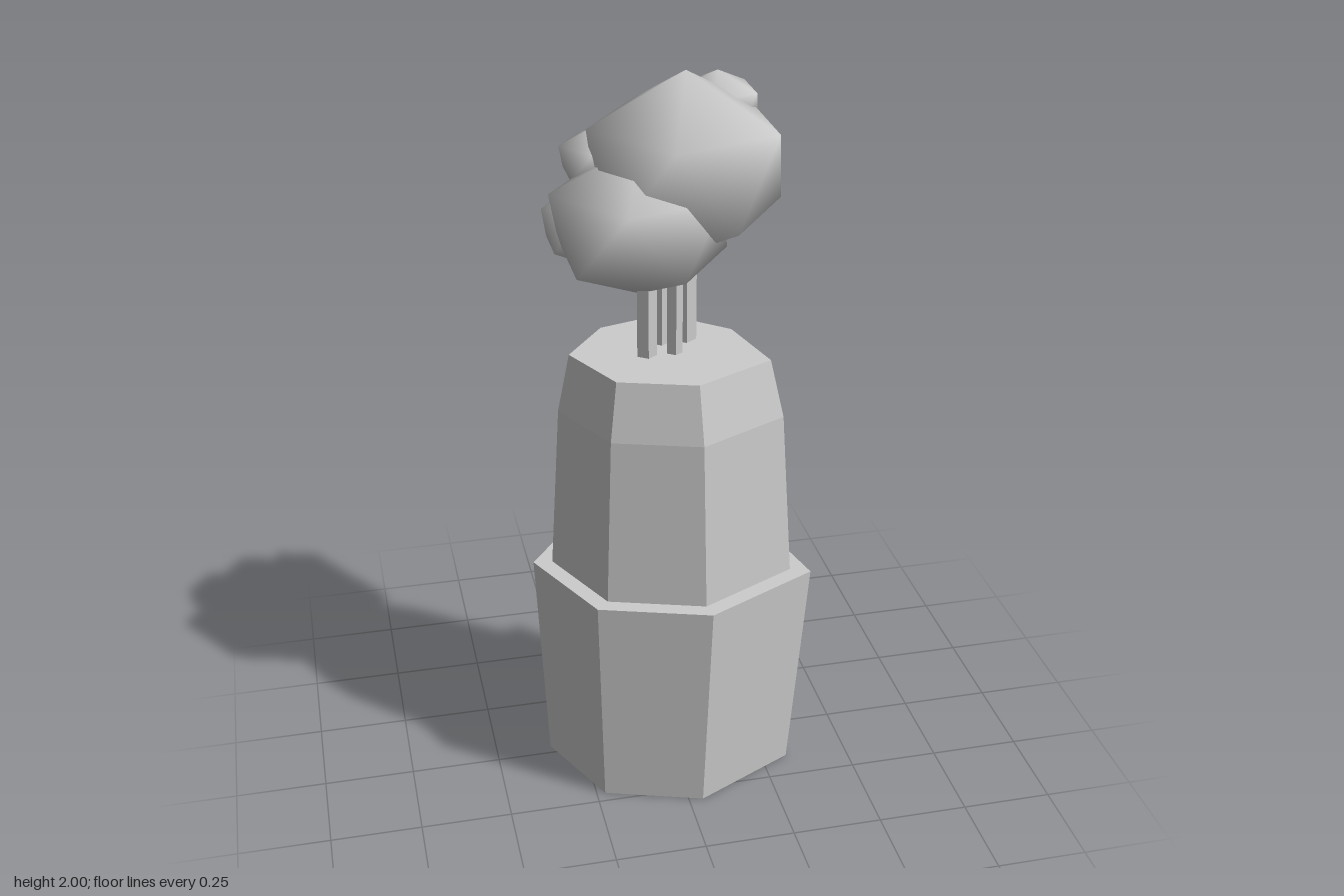
import * as THREE from 'three';

// Closed skin: bottom point, stacked rings (same count), top point.
function loft(bottom, rings, top, smooth) {
  const n = rings[0].length;
  const pos = [bottom, ...rings.flat(), top].flat();
  const last = 1 + n * rings.length;
  const index = [];
  for (let i = 0; i < n; i++) {
    const j = (i + 1) % n;
    index.push(0, 1 + i, 1 + j);
    for (let r = 0; r < rings.length - 1; r++) {
      const a = 1 + r * n, b = a + n;
      index.push(a + i, b + i, a + j, a + j, b + i, b + j);
    }
    index.push(last, last - n + j, last - n + i);
  }
  let geo = new THREE.BufferGeometry();
  geo.setAttribute('position', new THREE.Float32BufferAttribute(pos, 3));
  geo.setIndex(index);
  if (!smooth) geo = geo.toNonIndexed();
  geo.computeVertexNormals();
  return geo;
}

// Uneven seven-sided plan shared by the base and the shaft (x, z).
const PLAN = [
  [0.37, 0.175], [0.055, 0.33], [-0.24, 0.235], [-0.37, -0.04],
  [-0.205, -0.26], [0.065, -0.335], [0.295, -0.135],
];

// Each level is [y, scale, x shift, z shift].
function tower(levels) {
  const rings = levels.map(([y, s, dx, dz]) => PLAN.map(([x, z]) => [x * s + dx, y, z * s + dz]));
  const end = levels[levels.length - 1];
  return loft([0, levels[0][0], 0], rings, [0, end[0], 0], false);
}

// Squashed twelve-point ball standing on one corner.
function puff(rh, ry) {
  const ring = (y, phase) => Array.from({ length: 5 }, (_, i) => {
    const a = (i + phase) * Math.PI * 0.4;
    return [Math.cos(a) * rh * 0.894, y, Math.sin(a) * rh * 0.894];
  });
  return loft([0, -ry, 0], [ring(-0.447 * ry, 0), ring(0.447 * ry, 0.5)], [0, ry, 0], true);
}

export function createModel() {
  const model = new THREE.Group();
  model.name = 'smokingChimney';
  const grey = new THREE.MeshStandardMaterial({ color: 0xcccccc });
  grey.name = 'lightGrey';

  const add = (name, geo, x = 0, y = 0, z = 0) => {
    const mesh = new THREE.Mesh(geo, grey);
    mesh.name = name;
    mesh.position.set(x, y, z);
    model.add(mesh);
  };

  // Base flaring upwards, and the narrowing shaft standing on it
  add('base', tower([[0, 0.9, -0.01, 0.005], [0.635, 1, 0, 0]]));
  add('shaft', tower([
    [0.63, 0.86, 0, 0], [1.105, 0.78, 0, 0], [1.265, 0.69, 0, -0.005],
  ]));

  // Thin stalks carrying the cloud: x, z, radius, top
  [
    [0.065, -0.07, 0.033, 1.6], [-0.003, -0.06, 0.025, 1.6],
    [-0.055, 0.01, 0.028, 1.55], [0.02, 0.01, 0.022, 1.55],
  ].forEach(([x, z, r, top], i) => {
    const stalk = new THREE.CylinderGeometry(r, r, top - 1.25, 5).toNonIndexed();
    stalk.computeVertexNormals();
    add('stalk' + (i + 1), stalk, x, (top + 1.25) / 2, z);
  });

  // Cloud puffs: x, y, z, width radius, height radius
  [
    [0.065, 1.755, -0.065, 0.287, 0.245],
    [-0.067, 1.63, -0.015, 0.26, 0.2],
    [0.178, 1.87, -0.185, 0.123, 0.09],
    [-0.143, 1.755, -0.165, 0.115, 0.085],
    [-0.18, 1.57, -0.18, 0.128, 0.114],
  ].forEach(([x, y, z, rh, ry], i) => add('puff' + (i + 1), puff(rh, ry), x, y, z));

  return model;
}
